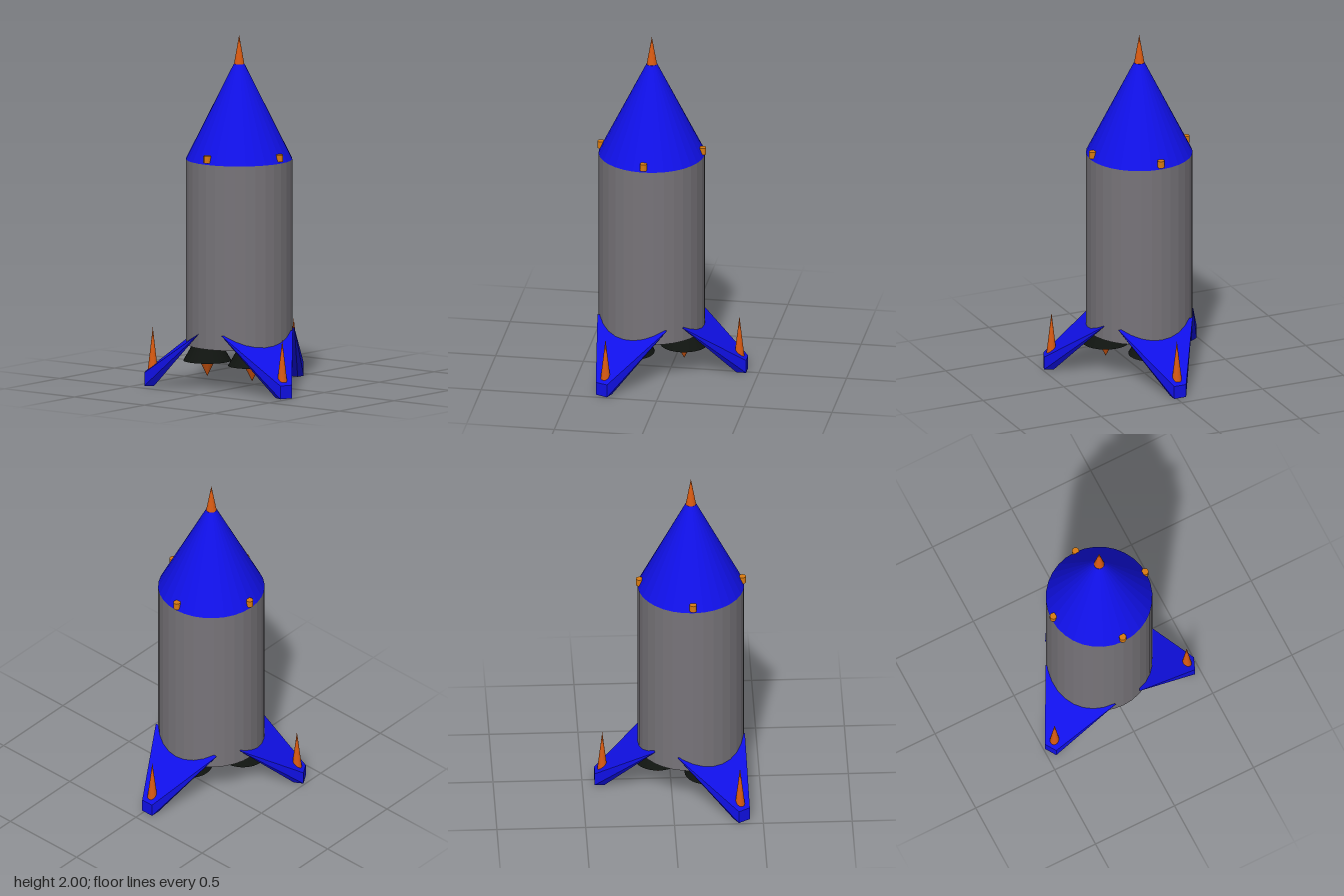
import * as THREE from 'three';

const material = (color) => new THREE.MeshStandardMaterial({ color, flatShading: true });
const grey = material(0x777479);
const blue = material(0x1010e8);
const orange = material(0xd95a10);
const amber = material(0xd97a10);
const black = material(0x101410);

// Upright cylinder or cone from y0 to y1
function turned(name, rBottom, rTop, y0, y1, x, z, mat, sides = 32) {
  const mesh = new THREE.Mesh(new THREE.CylinderGeometry(rTop, rBottom, y1 - y0, sides), mat);
  mesh.position.set(x, (y0 + y1) / 2, z);
  mesh.name = name;
  return mesh;
}

// Wedge-shaped fin: wide sharp edge at the hull, narrow foot at the far end (+z)
function finGeometry() {
  const corners = [[0.23, 0.33, 0], [0.037, 0.075, 0.33], [0.037, 0, 0.33], [0.037, 0, 0.275]];
  const positions = corners.flatMap(([x, y, z]) => [-x, y, z, x, y, z]);
  const geometry = new THREE.BufferGeometry();
  geometry.setAttribute('position', new THREE.Float32BufferAttribute(positions, 3));
  geometry.setIndex([
    0, 2, 3, 0, 3, 1, // top
    4, 5, 3, 4, 3, 2, // foot end
    6, 7, 5, 6, 5, 4, // sole
    0, 1, 7, 0, 7, 6, // underside
    1, 3, 5, 1, 5, 7, // sides
    0, 4, 2, 0, 6, 4,
  ]);
  geometry.computeVertexNormals();
  return geometry;
}

export function createModel() {
  const model = new THREE.Group();
  model.name = 'rocket';
  const cx = -0.02, cz = 0.113;

  // Hull and nose
  model.add(
    turned('hull', 0.3, 0.3, 0.245, 1.295, cx, cz, grey),
    turned('noseCone', 0.3, 0.03, 1.295, 1.835, cx, cz, blue),
    turned('noseTip', 0.03, 0, 1.83, 2, cx, cz, orange, 16),
  );

  // Four studs round the base of the nose
  for (let i = 0; i < 4; i++) {
    const a = (i * Math.PI) / 2;
    model.add(turned('stud', 0.02, 0.02, 1.305, 1.345,
      cx + 0.29 * Math.sin(a), cz + 0.29 * Math.cos(a), amber, 12));
  }

  // Three engines, each a bell with a pointed flame
  for (let i = 0; i < 3; i++) {
    const a = Math.PI + (i * Math.PI * 2) / 3;
    const x = cx + 0.005 + 0.185 * Math.sin(a), z = cz + 0.185 * Math.cos(a);
    model.add(
      turned('engineBell', 0.135, 0.075, 0.145, 0.25, x, z, black),
      turned('engineFlame', 0, 0.052, 0.055, 0.16, x, z, orange, 16),
    );
  }

  // Three fins with spikes: middle of the inner edge, then outward direction
  const finShape = finGeometry();
  const fins = [
    [-0.022, -0.1, 0, -1],
    [0.172, 0.193, 0.925, 0.38],
    [-0.192, 0.22, -0.85, 0.53],
  ];
  for (const [x, z, dx, dz] of fins) {
    const fin = new THREE.Group();
    fin.name = 'fin';
    const blade = new THREE.Mesh(finShape, blue);
    blade.name = 'finBlade';
    fin.add(blade, turned('finSpike', 0.028, 0, 0.09, 0.33, 0, 0.286, orange, 16));
    fin.position.set(x, 0, z);
    fin.rotation.y = Math.atan2(dx, dz);
    model.add(fin);
  }
  return model;
}
